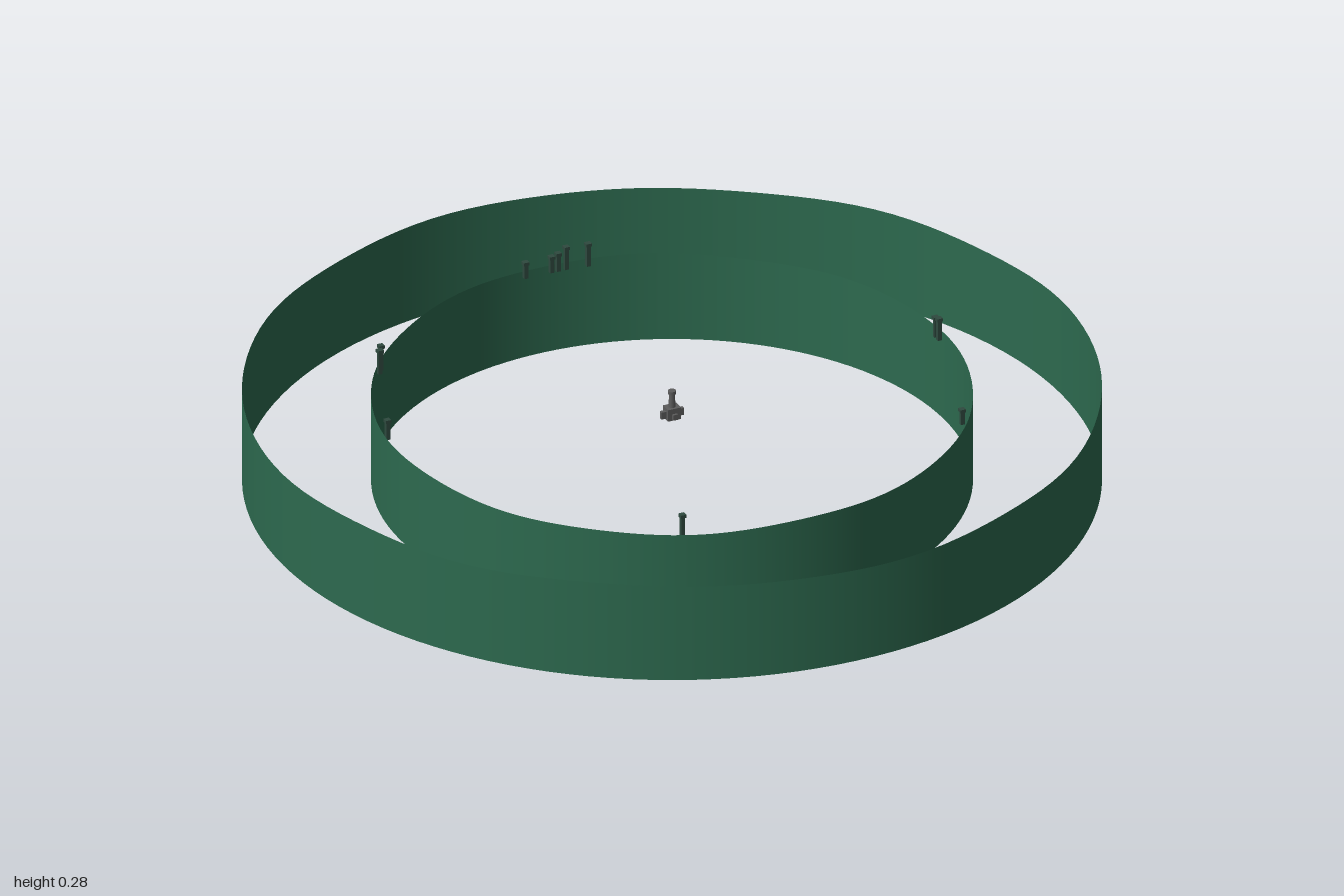
import * as THREE from 'three';

const green = new THREE.MeshStandardMaterial({ color: 0x2d6a4f, side: THREE.DoubleSide });
const towerDark = new THREE.MeshStandardMaterial({ color: 0x2f4a3f });
const stone = new THREE.MeshStandardMaterial({ color: 0x5c5c5c });

// Thin upright ring whose upper rim follows a height rule
function ringWall(name, radius, rim) {
  const geo = new THREE.CylinderGeometry(radius, radius, 1, 128, 1, true);
  const p = geo.attributes.position;
  for (let i = 0; i < p.count; i++) {
    const a = Math.atan2(p.getZ(i), p.getX(i));
    p.setY(i, p.getY(i) > 0 ? rim(a) : 0);
  }
  const mesh = new THREE.Mesh(geo, green);
  mesh.name = name;
  return mesh;
}

function add(group, name, geo, mat, x, y, z) {
  const mesh = new THREE.Mesh(geo, mat);
  mesh.name = name;
  mesh.position.set(x, y, z);
  group.add(mesh);
  return mesh;
}

// Small watchtower: square shaft with a slightly wider cap
function tower(x, z, top) {
  const g = new THREE.Group();
  g.name = 'tower';
  const base = 0.212, cap = 0.008;
  const h = top - cap - base;
  add(g, 'towerShaft', new THREE.BoxGeometry(0.01, h, 0.01), towerDark, 0, base + h / 2, 0);
  add(g, 'towerCap', new THREE.BoxGeometry(0.014, cap, 0.014), towerDark, 0, top - cap / 2, 0);
  g.position.set(x, 0, z);
  return g;
}

// Tiny floating keep at the centre of the rings
function keep() {
  const g = new THREE.Group();
  g.name = 'centralKeep';
  add(g, 'keepBody', new THREE.BoxGeometry(0.034, 0.03, 0.028), stone, 0, 0.177, 0);
  add(g, 'keepSpire', new THREE.CylinderGeometry(0.007, 0.009, 0.035, 8), stone, 0, 0.209, 0);
  add(g, 'keepSpireCap', new THREE.CylinderGeometry(0.01, 0.01, 0.008, 8), stone, 0, 0.23, 0);
  for (const s of [-1, 1]) {
    add(g, 'keepWing', new THREE.BoxGeometry(0.014, 0.018, 0.01), stone, s * 0.022, 0.175, 0);
    add(g, 'keepPorch', new THREE.BoxGeometry(0.012, 0.014, 0.008), stone, 0, 0.172, s * 0.016);
  }
  return g;
}

export function createModel() {
  const model = new THREE.Group();
  model.name = 'ringFortress';

  model.add(ringWall('outerWall', 1, a =>
    0.242 + 0.003 * Math.sin(3 * a + 1) + 0.003 * Math.sin(7 * a) + 0.002 * Math.sin(11 * a + 2)));
  model.add(ringWall('innerWall', 0.7, a =>
    0.225 + 0.002 * Math.sin(4 * a + 2) + 0.002 * Math.sin(9 * a)));

  // Tower positions along the inner wall: x, z, top
  const towers = [
    [-0.05, -0.69, 0.255], [0.017, -0.69, 0.255], [0.034, -0.69, 0.26],
    [0.055, -0.69, 0.272], [0.108, -0.683, 0.272], [-0.55, -0.42, 0.278],
    [-0.56, -0.405, 0.275], [-0.684, -0.102, 0.264], [0.687, -0.018, 0.265],
    [0.687, 0, 0.27], [0.556, 0.402, 0.252], [-0.273, 0.632, 0.272],
  ];
  for (const t of towers) model.add(tower(...t));

  model.add(keep());
  return model;
}
